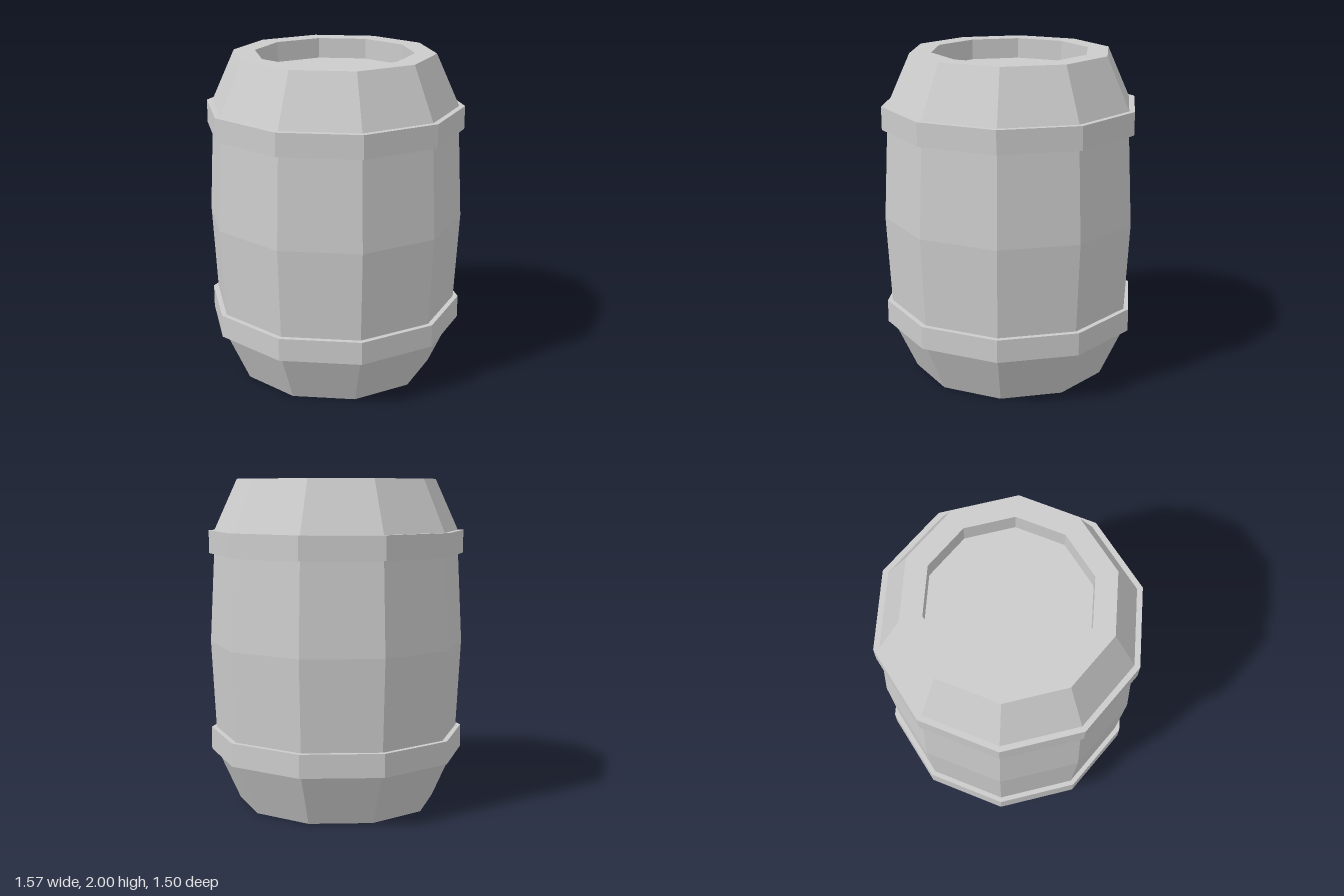
import * as THREE from 'three';

const SIDES = 10;

// Turns [radius, y] points (outer side running upwards) into a ten-sided solid
function turned(name, profile, material) {
  const points = profile.map(([r, y]) => new THREE.Vector2(r, y));
  const geometry = new THREE.LatheGeometry(points, SIDES, Math.PI / SIDES);
  const mesh = new THREE.Mesh(geometry, material);
  mesh.name = name;
  return mesh;
}

export function createModel() {
  const group = new THREE.Group();
  group.name = 'barrel';
  const material = new THREE.MeshStandardMaterial({ color: 0xcccccc, flatShading: true });

  // Bulging body with a recessed lid at both ends
  const lower = [[0, 0.125], [0.48, 0.125], [0.48, 0], [0.61, 0], [0.755, 0.32], [0.755, 0.46]];
  const upper = lower.map(([r, y]) => [r, 2 - y]).reverse();
  group.add(turned('body', [...lower, [0.783, 1], ...upper], material));

  // Two hoops around the body
  for (const [name, y] of [['lowerHoop', 0.317], ['upperHoop', 1.548]]) {
    const top = y + 0.14;
    group.add(turned(name, [[0.74, y], [0.786, y], [0.786, top], [0.74, top], [0.74, y]], material));
  }
  return group;
}
